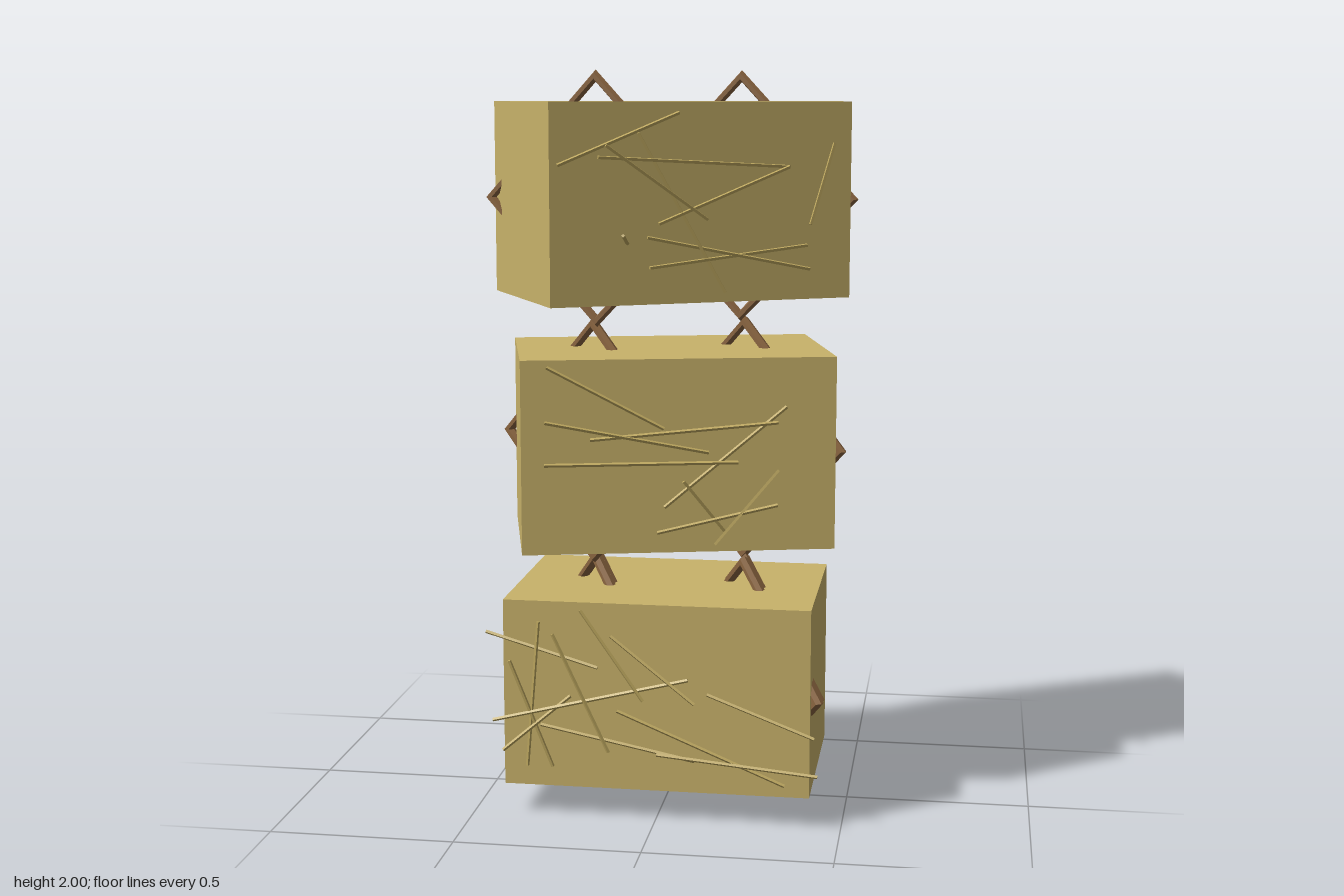
import * as THREE from 'three';

const W = 0.83, H = 0.515, D = 0.515;

// Each bale: height of centre, twist, extra depth at the back,
// and the main loose straws as [x1, y1, x2, y2] across the front.
const BALES = [
  { y: 0.34, turn: 0, extra: 0.03, straws: [
    [-0.46, 0.51, -0.15, 0.43], [-0.31, 0.55, -0.35, 0.14], [-0.2, 0.58, -0.03, 0.34],
    [-0.27, 0.52, -0.12, 0.2], [-0.44, 0.27, 0.09, 0.4], [-0.12, 0.51, 0.11, 0.34],
    [-0.39, 0.44, -0.28, 0.14], [-0.31, 0.26, 0.11, 0.18], [0.01, 0.2, 0.44, 0.16],
    [-0.1, 0.31, 0.35, 0.12], [0.14, 0.36, 0.43, 0.26], [-0.41, 0.19, -0.23, 0.34]] },
  { y: 1.0, turn: 0.25, extra: 0, straws: [
    [-0.27, 1.24, 0.03, 1.08], [-0.27, 1.1, 0.14, 1.01], [-0.16, 1.05, 0.32, 1.09],
    [-0.27, 0.99, 0.22, 0.99], [0.03, 0.87, 0.34, 1.13], [0.32, 0.96, 0.16, 0.77],
    [0.08, 0.94, 0.18, 0.8], [0.01, 0.8, 0.32, 0.87]] },
  { y: 1.66, turn: 0.5, extra: 0, straws: [
    [-0.22, 1.76, 0.07, 1.89], [-0.12, 1.78, 0.335, 1.75], [-0.03, 1.84, 0.18, 1.43],
    [-0.1, 1.81, 0.14, 1.62], [0.02, 1.61, 0.335, 1.75], [-0.01, 1.575, 0.39, 1.485],
    [0.0, 1.5, 0.38, 1.545], [0.447, 1.81, 0.39, 1.6]] }
];

export function createModel() {
  const hay = new THREE.MeshStandardMaterial({ color: 0xc8b26a });
  hay.name = 'hay';
  const straw = new THREE.MeshStandardMaterial({ color: 0xbda75f, flatShading: true });
  straw.name = 'straw';
  const twine = new THREE.MeshStandardMaterial({ color: 0x8a6540, flatShading: true });
  twine.name = 'twine';

  const ropeGeometry = new THREE.TorusGeometry(0.324, 0.016, 6, 4);
  const strawGeometry = new THREE.CylinderGeometry(0.005, 0.005, 1, 4);
  const up = new THREE.Vector3(0, 1, 0);
  const model = new THREE.Group();
  model.name = 'hayBaleStack';

  function add(parent, geometry, material, name) {
    const mesh = new THREE.Mesh(geometry, material);
    mesh.name = name;
    parent.add(mesh);
    return mesh;
  }

  for (const { y, turn, extra, straws } of BALES) {
    // Twisted block
    const bale = new THREE.Group();
    bale.name = 'bale';
    bale.position.y = y;
    bale.rotation.y = turn;
    model.add(bale);
    add(bale, new THREE.BoxGeometry(W, H, D + extra), hay, 'block').position.z = -extra / 2;

    // Diamond rope loops; the bottom bale has a second pair just behind
    for (const z of extra ? [0, -extra] : [0]) {
      for (const side of [-1, 1]) {
        const rope = add(bale, ropeGeometry, twine, 'rope');
        rope.position.set(side * W / 4, 0, z);
        rope.rotation.y = -0.8;
      }
    }

    // Loose straws, each end standing a little off the front face
    const onFace = (x, height, gap) => new THREE.Vector3(
      x, height, (D / 2 + gap - x * Math.sin(turn)) / Math.cos(turn));
    straws.forEach(([x1, y1, x2, y2], i) => {
      const a = onFace(x1, y1, 0.01 + 0.01 * (i * 3 % 5));
      const b = onFace(x2, y2, 0.01 + 0.01 * ((i * 2 + 3) % 5));
      const stalk = add(model, strawGeometry, straw, 'looseStraw');
      stalk.position.copy(a).add(b).multiplyScalar(0.5);
      stalk.scale.y = a.distanceTo(b);
      stalk.quaternion.setFromUnitVectors(up, b.sub(a).normalize());
    });
  }

  // Short straw sticking straight out of the top bale
  const stub = add(model, strawGeometry, straw, 'looseStraw');
  stub.position.set(-0.06, 1.57, 0.35);
  stub.rotation.x = 1.2;
  stub.scale.y = 0.08;
  return model;
}
